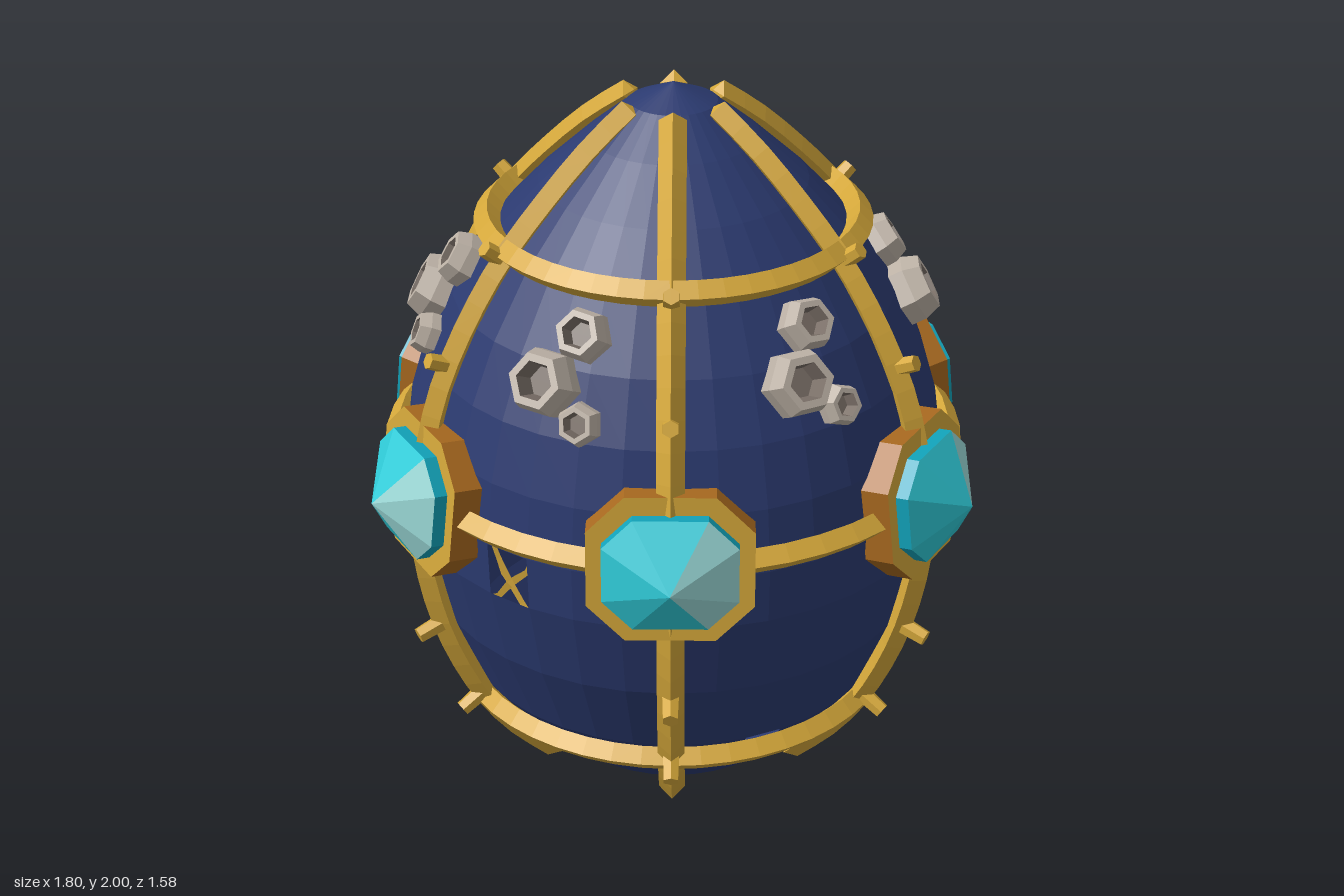
import * as THREE from 'three';

const mat = (name, color, side = THREE.FrontSide) => {
  const m = new THREE.MeshStandardMaterial({ color, flatShading: true, side });
  m.name = name;
  return m;
};

// Egg outline as [radius, height]
const PROFILE = [
  [0, 0.005], [0.19, 0.01], [0.335, 0.06], [0.475, 0.18], [0.585, 0.34], [0.68, 0.57],
  [0.73, 0.8], [0.735, 0.95], [0.712, 1.12], [0.665, 1.28], [0.59, 1.44], [0.485, 1.6],
  [0.355, 1.74], [0.225, 1.86], [0.115, 1.95], [0, 2],
];

function radiusAt(y) {
  for (let i = 1; i < PROFILE.length; i++) {
    const [r0, y0] = PROFILE[i - 1], [r1, y1] = PROFILE[i];
    if (y <= y1) return r0 + (r1 - r0) * (y - y0) / (y1 - y0);
  }
  return 0;
}
const tiltAt = (y) => Math.atan2(radiusAt(y - 0.1) - radiusAt(y + 0.1), 0.2);

export function createModel() {
  const model = new THREE.Group();
  const navy = mat('navy shell', 0x2b3a70, THREE.DoubleSide);
  const gold = mat('gold', 0xd4a73a);
  const bronze = mat('bronze', 0xa8691f);
  const cyan = mat('cyan gem', 0x2fcbd8);
  const pale = mat('pale gem', 0x98d6d4);
  const teal = mat('teal gem edge', 0x12a3ba);
  const stone = mat('stone', 0xbdb2a6);
  const darkStone = mat('dark stone', 0x7a6f67, THREE.DoubleSide);

  const add = (parent, name, geometry, material) => {
    const m = new THREE.Mesh(geometry, material);
    m.name = name;
    parent.add(m);
    return m;
  };
  // Group on the egg at angle phi (0 = front) whose +z points outward
  const mount = (name, phi, y, r, tilt) => {
    const g = new THREE.Group();
    g.name = name;
    g.position.set(Math.sin(phi) * r, y, Math.cos(phi) * r);
    g.rotation.set(-tilt, phi, 0, 'YXZ');
    model.add(g);
    return g;
  };

  // Shell with a few missing panels, given as [segment, row]
  const shell = new THREE.LatheGeometry(PROFILE.map(([r, y]) => new THREE.Vector2(r, y)), 36);
  const rows = PROFILE.length - 1;
  const gaps = [[35, 3], [17, 3], [29, 6], [24, 6], [11, 6]].map(([s, r]) => s * rows + r);
  shell.setIndex([...shell.index.array].filter((_, i) => !gaps.includes(Math.floor(i / 6))));
  add(model, 'eggShell', shell, navy);

  // Horizontal bands and the small foot ring
  for (const [y, r, t] of [[1.63, 0.49, 0.036], [1, 0.75, 0.036], [0.3, 0.588, 0.036], [0.012, 0.16, 0.01]]) {
    const band = add(model, 'band', new THREE.TorusGeometry(r, t, 4, 48), gold);
    band.rotation.x = Math.PI / 2;
    band.position.y = y;
  }

  // Diamond-section rib that follows the outline, capped with points
  const ribPoints = [
    [0.385, 0.06], [0.50, 0.18], [0.608, 0.34], [0.705, 0.57], [0.755, 0.8], [0.76, 0.95],
    [0.735, 1.12], [0.69, 1.28], [0.612, 1.44], [0.505, 1.6], [0.375, 1.74], [0.245, 1.86], [0.13, 1.945],
  ];
  const ribCurve = new THREE.CatmullRomCurve3(ribPoints.map(([x, y]) => new THREE.Vector3(x, y, 0)));
  const ribGeometry = new THREE.TubeGeometry(ribCurve, 28, 0.036, 4);
  const capGeometry = new THREE.OctahedronGeometry(0.036).scale(0.4, 1, 1);
  const nubGeometry = new THREE.CylinderGeometry(0.022, 0.025, 0.07, 6).rotateX(Math.PI / 2);

  // Octagonal gem: frame, edge and pyramid facets
  const octagon = (w, h, cx, cy) => [
    [w, -cy], [w, cy], [cx, h], [-cx, h], [-w, cy], [-w, -cy], [-cx, -h], [cx, -h],
  ].map(([x, y]) => new THREE.Vector2(x, y));
  const plate = (points, depth) => new THREE.ExtrudeGeometry(new THREE.Shape(points), { depth, bevelEnabled: false });
  const gemOutline = octagon(0.172, 0.147, 0.095, 0.072);
  const frameGeometry = plate(octagon(0.212, 0.195, 0.115, 0.1), 0.08).translate(0, 0, -0.06);
  const edgeGeometry = plate(gemOutline, 0.04).translate(0, 0, 0.015);
  const facets = (sides) => {
    const p = [];
    for (const i of sides) {
      const a = gemOutline[i], b = gemOutline[(i + 1) % 8];
      p.push(a.x, a.y, 0.055, b.x, b.y, 0.055, 0, -0.015, 0.15);
    }
    const g = new THREE.BufferGeometry();
    g.setAttribute('position', new THREE.Float32BufferAttribute(p, 3));
    g.computeVertexNormals();
    return g;
  };
  const paleFacets = facets([7, 0, 1]);
  const cyanFacets = facets([2, 3, 4, 5, 6]);

  // Hollow hexagonal cup
  const lathe6 = (pts) => new THREE.LatheGeometry(pts.map(([r, y]) => new THREE.Vector2(r, y)), 6).rotateX(Math.PI / 2);
  const cupGeometry = lathe6([[1, -0.4], [1, 0.4], [0.82, 0.9], [0.58, 0.9]]);
  const hollowGeometry = lathe6([[0.58, 0.9], [0.46, 0.3], [0, 0.3]]);

  for (let k = 0; k < 6; k++) {
    const turn = k * Math.PI / 3;
    const phi = turn + Math.PI / 2;

    const rib = new THREE.Group();
    rib.name = 'rib';
    rib.rotation.y = turn;
    model.add(rib);
    add(rib, 'ribBar', ribGeometry, gold);
    for (const t of [0, 1]) {
      const cap = add(rib, 'ribEnd', capGeometry, gold);
      const d = ribCurve.getTangent(t);
      cap.position.copy(ribCurve.getPoint(t));
      cap.rotation.z = Math.atan2(d.y, d.x);
    }

    // Rivets along the rib
    for (const [y, r] of [[1.63, 0.525], [1.36, 0.69], [0.57, 0.755], [0.3, 0.64]])
      add(mount('rivet', phi, y, r, tiltAt(y)), 'rivetHead', nubGeometry, gold);

    const gem = mount('gem', phi, 1, 0.75, 0.12);
    add(gem, 'gemFrame', frameGeometry, [gold, bronze]);
    add(gem, 'gemEdge', edgeGeometry, teal);
    add(gem, 'gemFacets', cyanFacets, cyan);
    add(gem, 'gemPaleFacets', paleFacets, pale);

    // Cluster of three cups between the ribs
    for (const [x, y, size, spin] of [[0, 1.4, 0.09, 0.5], [0.065, 1.515, 0.072, 0.4], [0.11, 1.325, 0.057, 0.15]]) {
      const r = radiusAt(y);
      const cup = mount('barnacle', turn + x / r, y, r, tiltAt(y));
      cup.rotation.z = spin;
      cup.scale.setScalar(size);
      add(cup, 'barnacleCup', cupGeometry, stone);
      add(cup, 'barnacleHollow', hollowGeometry, darkStone);
    }
  }
  return model;
}
